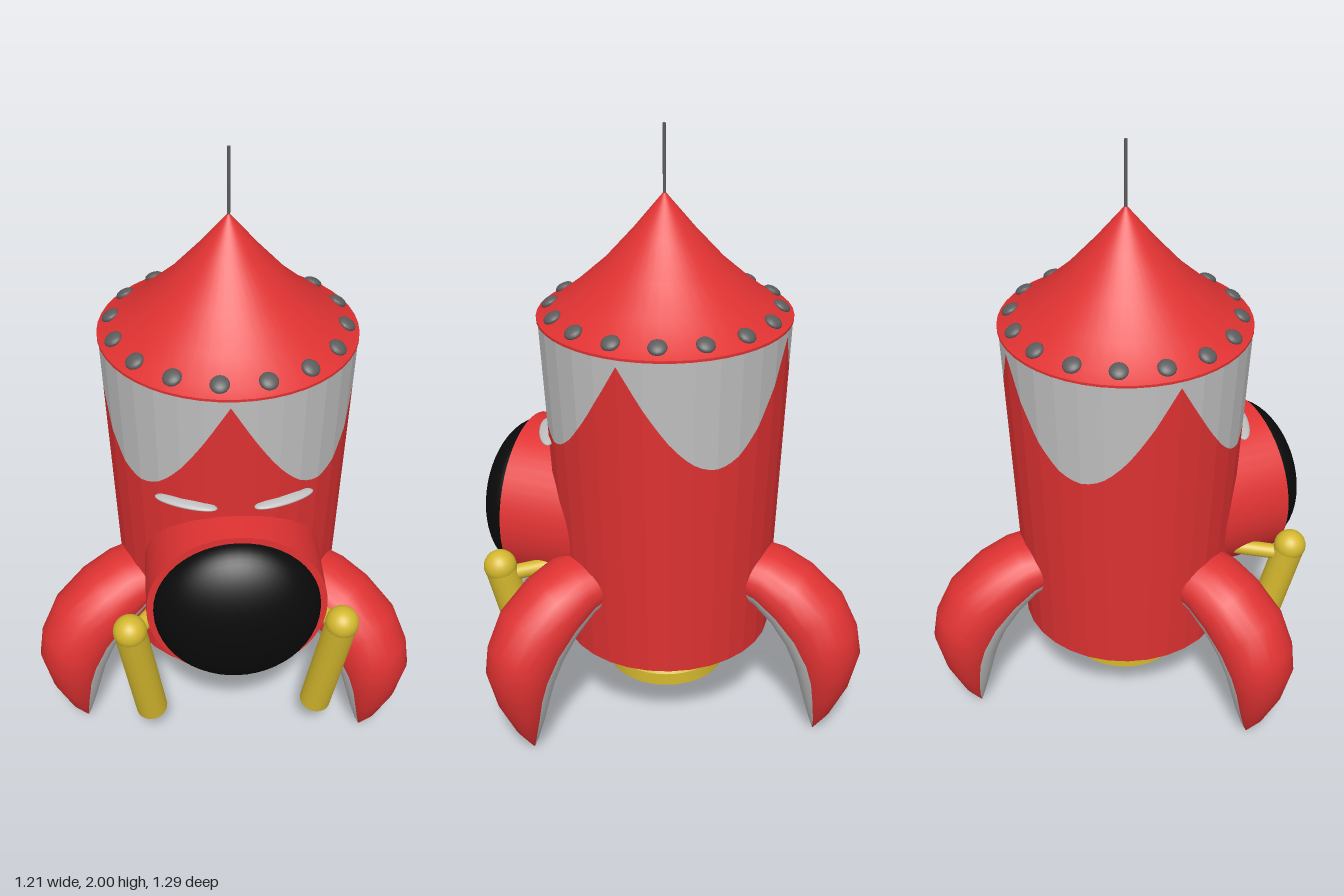
import * as THREE from 'three';
import { toCreasedNormals } from 'three/addons/utils/BufferGeometryUtils.js';

const material = (name, color, extra = {}) => {
  const m = new THREE.MeshStandardMaterial({ color, ...extra });
  m.name = name;
  return m;
};

const V2 = (list) => list.map(([x, y]) => new THREE.Vector2(x, y));
const V3 = (x, y, z) => new THREE.Vector3(x, y, z);

export function createModel() {
  const red = material('red paint', 0xe03232);
  const silver = material('light grey', 0xc0c0c0);
  const steel = material('dark grey', 0x5c5c5c);
  const yellow = material('yellow', 0xd4b82e);
  const black = material('black glass', 0x0a0a0a);
  // the hull is faceted, so it shares the same two colours with flat shading
  red.flatShading = silver.flatShading = false;

  const model = new THREE.Group();
  model.name = 'rocket';
  const rocket = new THREE.Group();
  rocket.name = 'rocketAssembly';
  rocket.position.set(0.028, 0, 0.04);
  model.add(rocket);

  const add = (name, geometry, mat, parent = rocket) => {
    const mesh = new THREE.Mesh(geometry, mat);
    mesh.name = name;
    parent.add(mesh);
    return mesh;
  };

  // Cylinder between two points
  const rod = (name, a, b, radius, mat) => {
    const dir = b.clone().sub(a);
    const mesh = add(name, new THREE.CylinderGeometry(radius, radius, dir.length(), 24), mat);
    mesh.position.copy(a).add(b).multiplyScalar(0.5);
    mesh.quaternion.setFromUnitVectors(V3(0, 1, 0), dir.normalize());
    return mesh;
  };

  // Hull: 32 flat sides, each in three columns, split by a scalloped paint line
  const BOTTOM = 0.32, TOP = 1.42, SIDES = 32;
  const hullRadius = (y) => 0.345 + (0.05 * (y - BOTTOM)) / (TOP - BOTTOM);
  const scallop = (t) => 1.05 + 0.34 * (1 - Math.abs(Math.sin(2 * t)));
  const hullPanel = (name, low, high, mat) => {
    const g = new THREE.CylinderGeometry(1, 1, 1, SIDES * 3, 1, true);
    const p = g.attributes.position, uv = g.attributes.uv;
    const step = (2 * Math.PI) / SIDES;
    for (let i = 0; i < p.count; i++) {
      const t = uv.getX(i) * 2 * Math.PI;
      const y = p.getY(i) > 0 ? high(t) : low(t);
      const k = Math.round(uv.getX(i) * SIDES * 3) % 3;
      const r = (hullRadius(y) * Math.cos(step / 2)) / Math.cos((k * step) / 3 - step / 2);
      p.setXYZ(i, r * Math.sin(t), y, r * Math.cos(t));
    }
    const mesh = add(name, toCreasedNormals(g, 0.05), mat);
    mesh.rotation.y = -0.045;
  };
  hullPanel('hullLower', () => BOTTOM, scallop, red);
  hullPanel('hullScallops', scallop, () => TOP, silver);
  const floor = add('hullFloor', new THREE.CircleGeometry(0.344, SIDES), silver);
  floor.rotation.x = Math.PI / 2;
  floor.position.y = BOTTOM;

  // Nose cone, antenna and ring of bolts
  const nose = V2([[0, 1.412], [0.397, 1.412], [0.397, 1.42], [0.355, 1.442], [0.28, 1.5],
    [0.19, 1.58], [0.095, 1.685], [0, 1.8]]);
  add('noseCone', toCreasedNormals(new THREE.LatheGeometry(nose, 48), 0.6), red);
  rod('antenna', V3(0, 1.78, 0), V3(0, 2, 0), 0.005, steel);
  const boltGeometry = new THREE.SphereGeometry(0.029, 16, 10);
  for (let i = 0; i < 16; i++) {
    const t = THREE.MathUtils.degToRad(15 + 22.5 * i);
    const bolt = add('bolt', boltGeometry, steel);
    bolt.position.set(0.357 * Math.sin(t), 1.445, 0.357 * Math.cos(t));
    bolt.rotation.set(0.5, t, 0, 'YXZ');
    bolt.scale.y = 0.5;
  }

  // Round porthole: collar and domed glass
  const collar = add('portholeCollar', new THREE.CylinderGeometry(0.277, 0.277, 0.3, 48), red);
  collar.rotation.x = Math.PI / 2;
  collar.position.set(0, 0.71, 0.325);
  const glass = add('portholeGlass',
    new THREE.SphereGeometry(0.256, 48, 16, 0, Math.PI * 2, 0, Math.PI / 2), black);
  glass.rotation.x = Math.PI / 2;
  glass.position.set(0, 0.71, 0.474);
  glass.scale.y = 0.135 / 0.256;

  // Slim slits above the porthole
  for (const side of [-1, 1]) {
    const slit = add('slit', new THREE.SphereGeometry(1, 24, 12), silver);
    const t = side * 0.4;
    slit.position.set(0.377 * Math.sin(t), 1.025, 0.377 * Math.cos(t));
    slit.rotation.y = t;
    slit.scale.set(0.1, 0.011, 0.028);
  }

  // Engine nozzle, hollow from below
  const nozzle = V2([[0, 0.25], [0.15, 0.25], [0.172, 0.2], [0.172, 0.157], [0.197, 0.157],
    [0.197, 0.2], [0.16, 0.262], [0.16, 0.33]]);
  add('nozzle', toCreasedNormals(new THREE.LatheGeometry(nozzle, 40), 0.4), yellow);

  // Side thruster pipes with round caps and struts
  for (const side of [-1, 1]) {
    const top = V3(side * 0.33, 0.612, 0.455);
    rod('thrusterPipe', V3(side * 0.272, 0.19, 0.375), top, 0.051, yellow);
    add('thrusterCap', new THREE.SphereGeometry(0.053, 24, 16), yellow).position.copy(top);
    rod('thrusterStrut', V3(side * 0.2, 0.59, 0.27), V3(side * 0.325, 0.58, 0.44), 0.025, yellow);
  }

  // Curved fins. Each section: outer radius, outer y, inner radius, inner y, half width
  const sections = [
    [0.28, 0.665, 0.28, 0.5, 0.12], [0.4, 0.655, 0.34, 0.47, 0.125],
    [0.5, 0.615, 0.4, 0.41, 0.13], [0.61, 0.53, 0.445, 0.34, 0.13],
    [0.67, 0.42, 0.475, 0.27, 0.122], [0.686, 0.33, 0.49, 0.21, 0.11],
    [0.655, 0.2, 0.51, 0.13, 0.083], [0.6, 0.08, 0.53, 0.05, 0.042],
    [0.547, 0.003, 0.541, 0.001, 0.004],
  ];
  const RING = 24, RED_SIDE = 7; // red covers seven steps either side of the outer ridge
  const points = [], redFaces = [], greyFaces = [];
  sections.forEach(([ro, yo, ri, yi, w], s) => {
    for (let j = 0; j < RING; j++) {
      const a = (j / RING) * Math.PI * 2, c = Math.cos(a) / 2;
      points.push(w * Math.sin(a), (yo + yi) / 2 + c * (yo - yi), (ro + ri) / 2 + c * (ro - ri));
      if (s === sections.length - 1) continue;
      const n = (j + 1) % RING, b = s * RING;
      const faces = j < RED_SIDE || j >= RING - RED_SIDE ? redFaces : greyFaces;
      faces.push(b + j, b + RING + j, b + n, b + n, b + RING + j, b + RING + n);
    }
  });
  const finGeometry = new THREE.BufferGeometry();
  finGeometry.setAttribute('position', new THREE.Float32BufferAttribute(points, 3));
  finGeometry.setIndex([...redFaces, ...greyFaces]);
  finGeometry.addGroup(0, redFaces.length, 0);
  finGeometry.addGroup(redFaces.length, greyFaces.length, 1);
  finGeometry.computeVertexNormals();
  for (const degrees of [54, 174, 294]) {
    add('fin', finGeometry, [red, silver]).rotation.y = THREE.MathUtils.degToRad(degrees);
  }

  return model;
}
